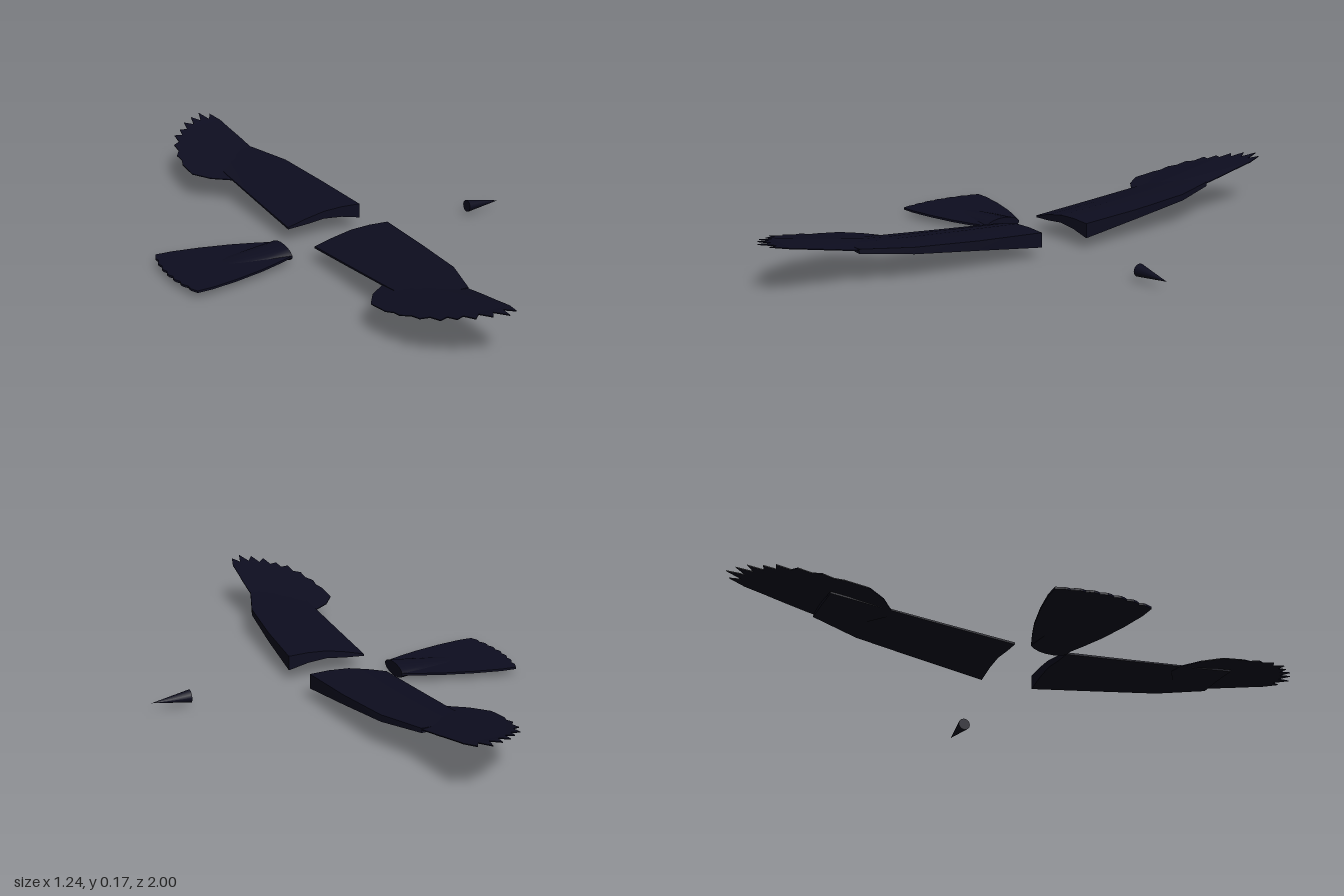
import * as THREE from 'three';
import { toCreasedNormals } from 'three/addons/utils/BufferGeometryUtils.js';

const plumage = new THREE.MeshStandardMaterial({ color: 0x0d0d1f, side: THREE.DoubleSide });
plumage.name = 'blue-black plumage';

// Skin a list of closed rings (each the same length) and cap both ends
function loft(rings) {
  const n = rings[0].length, pos = rings.flat(2), idx = [];
  for (let r = 0; r < rings.length - 1; r++)
    for (let i = 0; i < n; i++) {
      const a = r * n + i, b = r * n + (i + 1) % n;
      idx.push(a, b, a + n, b, b + n, a + n);
    }
  const last = (rings.length - 1) * n;
  for (let i = 0; i < n / 2 - 1; i++) {
    // caps join the upper row to the lower row
    const a = i, b = i + 1, c = n - 2 - i, d = n - 1 - i;
    idx.push(a, d, b, b, d, c, last + a, last + b, last + d, last + b, last + c, last + d);
  }
  const g = new THREE.BufferGeometry();
  g.setAttribute('position', new THREE.Float32BufferAttribute(pos, 3));
  g.setIndex(idx);
  return toCreasedNormals(g, 0.6);
}

// Flat plate in the x-z plane from outline points, extruded upward
function plate(points, thickness) {
  const shape = new THREE.Shape(points.map(([x, z]) => new THREE.Vector2(x, -z)));
  const g = new THREE.ExtrudeGeometry(shape, { depth: thickness, bevelEnabled: false });
  return g.rotateX(-Math.PI / 2);
}

function mesh(geometry, name) {
  const m = new THREE.Mesh(geometry, plumage);
  m.name = name;
  return m;
}

// Cambered arm with a blunt leading edge
function wingArm() {
  const stations = [
    { z: 0.09, lead: 0.12, trail: -0.15, top: [0.085, 0.088, 0.085, 0.072, 0.055], low: [0.036, 0.052, 0.059, 0.052, 0.048] },
    { z: 0.32, lead: 0.104, trail: -0.15, top: [0.094, 0.098, 0.096, 0.086, 0.073], low: [0.062, 0.072, 0.077, 0.072, 0.067] },
    { z: 0.54, lead: 0.08, trail: -0.15, top: [0.106, 0.108, 0.107, 0.1, 0.091], low: [0.084, 0.09, 0.093, 0.09, 0.086] },
    { z: 0.7, lead: 0.025, trail: -0.15, top: [0.115, 0.115, 0.114, 0.111, 0.107], low: [0.1, 0.102, 0.103, 0.102, 0.101] },
  ];
  return loft(stations.map(({ z, lead, trail, top, low }) => {
    const x = (i) => lead + (trail - lead) * i / 4;
    return [...top.map((y, i) => [x(i), y, z]), ...low.map((y, i) => [x(i), y, z]).reverse()];
  }));
}

// Thin fan of flight feathers; tips alternate with notches
function wingFeathers() {
  const outline = [[-0.1, 0.5], [-0.15, 0.505], [-0.21, 0.55], [-0.252, 0.61]];
  const tips = [[-0.252, 0.69], [-0.243, 0.755], [-0.222, 0.825], [-0.193, 0.885],
    [-0.158, 0.915], [-0.123, 0.955], [-0.083, 0.98], [-0.042, 1.0], [-0.006, 0.98]];
  const depth = [0.008, 0.012, 0.02, 0.025, 0.03, 0.04, 0.045, 0.045];
  tips.forEach((tip, i) => {
    outline.push(tip);
    if (i === tips.length - 1) return;
    // notch between this tip and the next, pulled toward the wrist
    const mx = (tip[0] + tips[i + 1][0]) / 2, mz = (tip[1] + tips[i + 1][1]) / 2;
    const dx = -0.04 - mx, dz = 0.6 - mz, k = depth[i] / Math.hypot(dx, dz);
    outline.push([mx + dx * k, mz + dz * k]);
  });
  outline.push([0.01, 0.925], [0.014, 0.86], [0.02, 0.79], [0.025, 0.7], [0.04, 0.64], [0, 0.56]);
  const g = plate(outline, 0.003);
  // lift toward the tip and droop toward the trailing side
  const p = g.attributes.position;
  for (let i = 0; i < p.count; i++) {
    const x = p.getX(i), z = p.getZ(i);
    const lift = z < 0.7 ? 0.086 + (z - 0.5) * 0.115 : 0.109 + (z - 0.7) * 0.185;
    p.setY(i, p.getY(i) + lift - 0.06 * Math.max(0, -0.08 - x));
  }
  g.computeVertexNormals();
  return g;
}

// Fan tail with softly scalloped feather ends
function tailFan() {
  const side = [[-0.218, 0.065], [-0.28, 0.09], [-0.35, 0.115], [-0.45, 0.141], [-0.54, 0.157], [-0.592, 0.159]];
  const end = [], feathers = 7;
  for (let i = 1; i < feathers * 4; i++) {
    const t = 1 - 2 * i / (feathers * 4);
    const scallop = 0.007 * (1 - Math.abs(Math.sin(Math.PI * i / 4)));
    end.push([-0.62 + 0.024 * t * t + scallop, 0.157 * t]);
  }
  return plate([...side, ...end, ...side.map(([x, z]) => [x, -z]).reverse()], 0.007).translate(0, 0.021, 0);
}

// Tapered cover where the tail meets the rump
function tailBase() {
  const n = 16;
  const ring = (x, ry, rz, cy) => Array.from({ length: n }, (_, i) => {
    const a = (i + 0.5) / n * Math.PI * 2;
    return [x, cy + ry * Math.sin(a), rz * Math.cos(a)];
  });
  return loft([ring(-0.218, 0.0235, 0.067, 0.0235), ring(-0.3, 0.0145, 0.055, 0.024), ring(-0.43, 0.003, 0.03, 0.025)]);
}

export function createModel() {
  const model = new THREE.Group();
  model.name = 'bird';

  for (const [s, label] of [[1, 'Right'], [-1, 'Left']]) {
    const wing = new THREE.Group();
    wing.name = 'wing' + label;
    wing.add(mesh(wingArm(), 'wingArm'), mesh(wingFeathers(), 'flightFeathers'));
    wing.scale.z = s;
    model.add(wing);
  }

  const tail = new THREE.Group();
  tail.name = 'tail';
  tail.add(mesh(tailBase(), 'tailBase'), mesh(tailFan(), 'tailFan'));
  model.add(tail);

  // Beak: a cone pointing forward along +x, tip slightly drooped
  const beak = mesh(new THREE.ConeGeometry(0.021, 0.128, 12).rotateZ(-Math.PI / 2), 'beak');
  beak.position.set(0.555, 0.033, 0);
  beak.rotation.z = -0.04;
  model.add(beak);

  return model;
}
